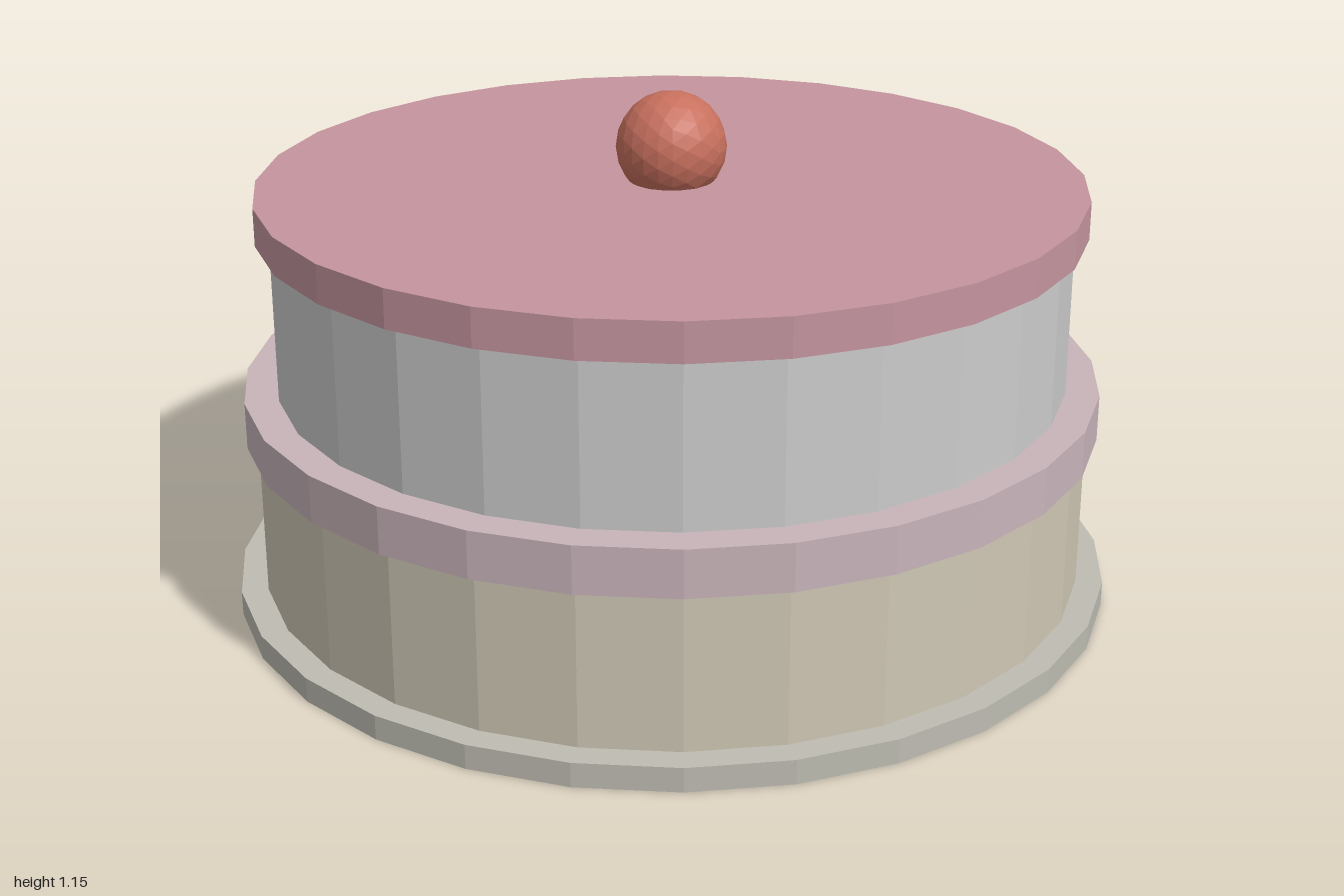
import * as THREE from 'three';

const SIDES = 28;

export function createModel() {
  const model = new THREE.Group();

  const add = (name, geometry, color, y) => {
    const material = new THREE.MeshStandardMaterial({ color, flatShading: true });
    const mesh = new THREE.Mesh(geometry, material);
    mesh.name = name;
    mesh.position.y = y;
    model.add(mesh);
  };

  // Stacked discs: name, radius, bottom, top, color
  const discs = [
    ['basePlate', 1.0, 0, 0.055, 0xbebcb2],
    ['lowerTier', 0.94, 0.002, 0.405, 0xcfc7b5],
    ['middleBand', 0.965, 0.405, 0.51, 0xc8b4ba],
    ['upperTier', 0.89, 0.51, 0.87, 0xcccbc8],
    ['topLayer', 0.92, 0.87, 0.955, 0xc5959f],
  ];
  for (const [name, radius, bottom, top, color] of discs) {
    const geometry = new THREE.CylinderGeometry(radius, radius, top - bottom, SIDES);
    add(name, geometry, color, (bottom + top) / 2);
  }

  // Faceted ball sunk slightly into the top
  add('topBall', new THREE.IcosahedronGeometry(0.123, 3), 0xc8705e, 1.029);

  return model;
}
